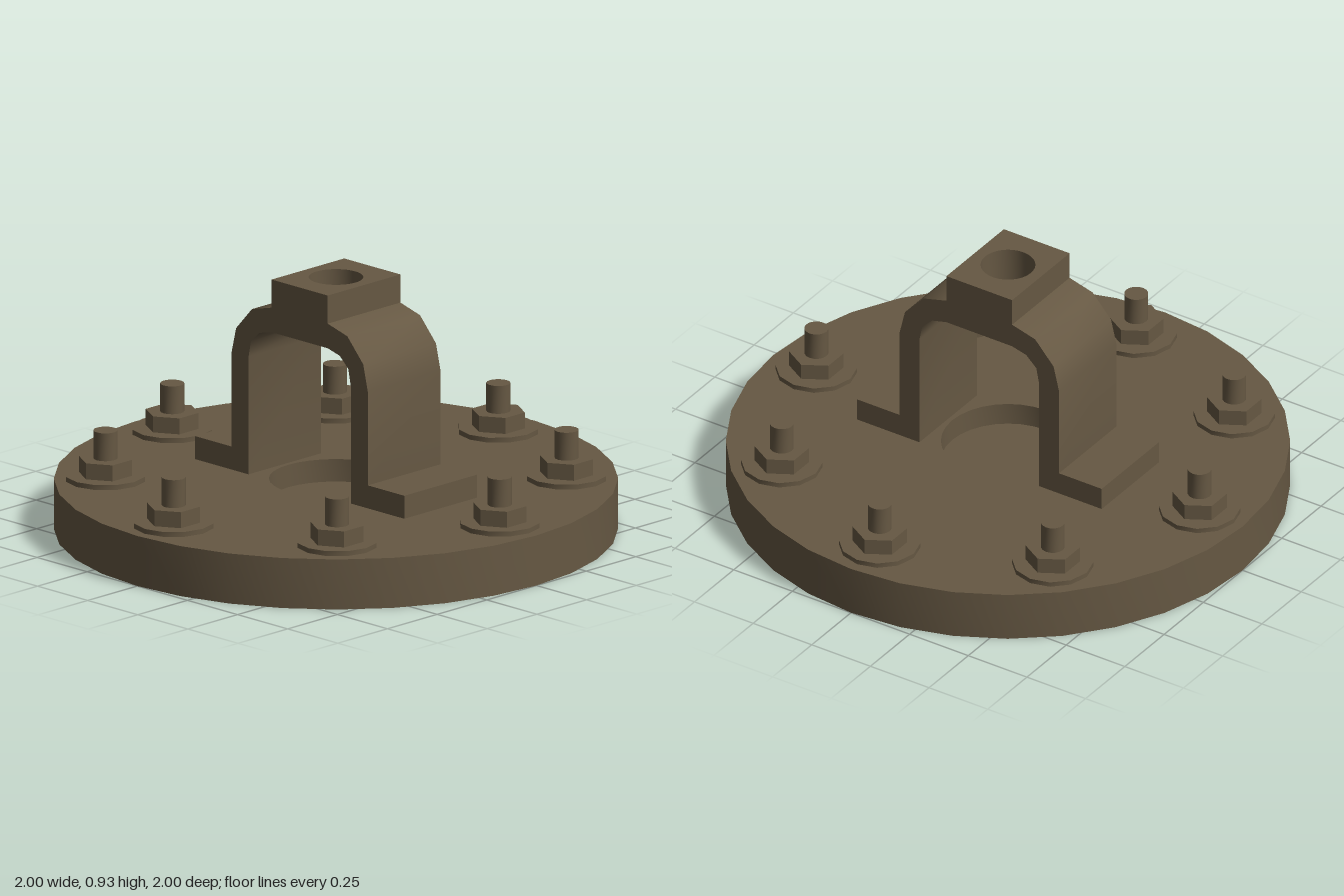
import * as THREE from 'three';
import { toCreasedNormals } from 'three/addons/utils/BufferGeometryUtils.js';

export function createModel() {
  const group = new THREE.Group();
  const bronze = new THREE.MeshStandardMaterial({ color: 0x665843 });
  bronze.name = 'dark bronze';

  const add = (name, geometry, parent = group) => {
    const mesh = new THREE.Mesh(toCreasedNormals(geometry, 0.7), bronze);
    mesh.name = name;
    parent.add(mesh);
    return mesh;
  };
  const points = (list) => list.map(([a, b]) => new THREE.Vector2(a, b));

  const TOP = 0.185; // upper face of the flange
  const WIDTH = 0.366; // bracket width along x

  // Flange: hollow underneath, with a shallow round cup in the middle
  add('flange', new THREE.LatheGeometry(points([
    [0, 0.096], [0.243, 0.096], [0.243, 0.178], [0.645, 0.178], [0.645, 0], [1, 0],
    [1, TOP], [0.238, TOP], [0.238, 0.102], [0, 0.102],
  ]), 32));

  // Bracket sides: foot, leg and rounded shoulder, extruded across x
  const side = new THREE.Shape(points([
    [0.255, TOP - 0.004], [0.522, TOP - 0.004], [0.522, 0.27], [0.34, 0.27],
    [0.34, 0.617], [0.317, 0.713], [0.238, 0.8], [0.14, 0.826],
    [0.14, 0.735], [0.2, 0.72], [0.243, 0.68], [0.255, 0.62],
  ]));
  for (const [name, turn] of [['frontBracketSide', 0], ['backBracketSide', Math.PI]]) {
    const geometry = new THREE.ExtrudeGeometry(side, { depth: WIDTH, bevelEnabled: false });
    geometry.translate(0, 0, -WIDTH / 2).rotateY(-Math.PI / 2);
    add(name, geometry).rotation.y = turn;
  }

  // Bracket crown: block with a vertical bore
  const w = WIDTH / 2, d = 0.14;
  const crown = new THREE.Shape(points([[-w, -d], [w, -d], [w, d], [-w, d]]));
  crown.holes.push(new THREE.Path().absarc(0, 0, 0.097, 0, Math.PI * 2, true));
  const block = new THREE.ExtrudeGeometry(crown, { depth: 0.195, bevelEnabled: false, curveSegments: 24 });
  block.rotateX(-Math.PI / 2);
  add('bracketCrown', block).position.y = 0.735;

  // Ring of eight bolts: washer, hex nut and stud
  for (let i = 0; i < 8; i++) {
    const bolt = new THREE.Group();
    bolt.name = 'bolt' + (i + 1);
    const a = (i * Math.PI) / 4;
    bolt.position.set(0.817 * Math.cos(a), TOP, 0.817 * Math.sin(a));
    const stack = (name, radius, y0, y1, sides) => {
      const geometry = new THREE.CylinderGeometry(radius, radius, y1 - y0, sides);
      geometry.rotateY(Math.PI / 2);
      add(name, geometry, bolt).position.y = (y0 + y1) / 2;
    };
    stack('washer', 0.145, -0.003, 0.018, 12);
    stack('nut', 0.097, 0.018, 0.077, 6);
    stack('stud', 0.043, 0.077, 0.18, 16);
    group.add(bolt);
  }
  return group;
}
